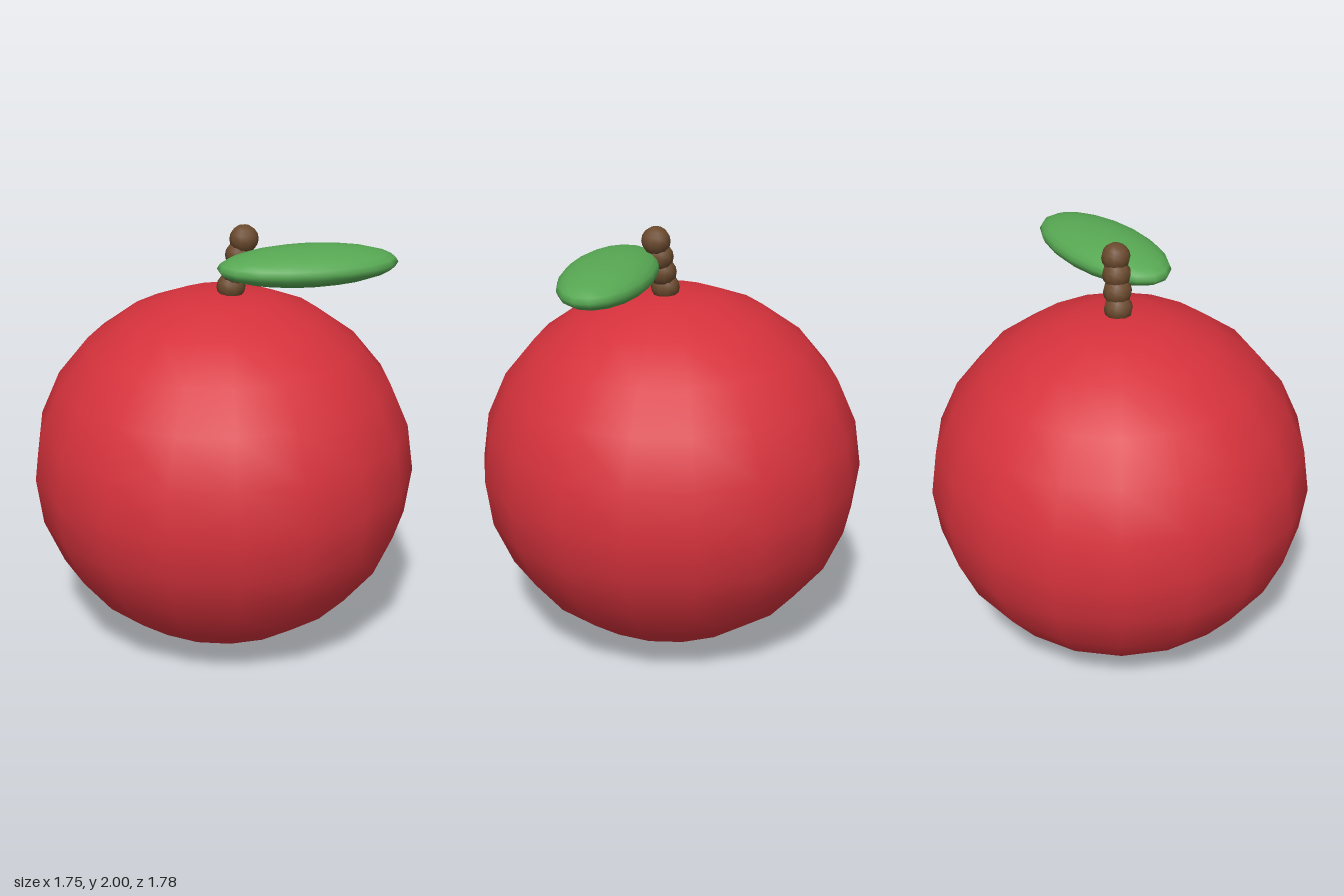
import * as THREE from 'three';

export function createModel() {
  const model = new THREE.Group();
  model.name = 'apple';

  const material = (name, color) => {
    const m = new THREE.MeshStandardMaterial({ color });
    m.name = name;
    return m;
  };
  const red = material('apple red', 0xd6323c);
  const brown = material('stem brown', 0x6b4a2e);
  const green = material('leaf green', 0x57a853);

  // Ellipsoid with its seam turned so that a vertex column lies on the z axis
  const ellipsoid = (name, mat, radii, position, columns, rows) => {
    const geometry = new THREE.SphereGeometry(1, columns, rows).rotateY(Math.PI / 2);
    const mesh = new THREE.Mesh(geometry, mat);
    mesh.name = name;
    mesh.scale.set(...radii);
    mesh.position.set(...position);
    model.add(mesh);
    return mesh;
  };

  // Fruit body, slightly flattened
  ellipsoid('fruit', red, [0.89, 0.845, 0.89], [0, 0.845, 0], 18, 12);

  // Stem of overlapping beads, leaning to the left
  for (let i = 0; i < 4; i++) {
    const t = i / 3;
    const position = [0.037 + 0.06 * t, 1.71 + 0.225 * t, 0];
    ellipsoid('stemBead' + (i + 1), brown, [0.066, 0.065, 0.066], position, 10, 8);
  }

  // Leaf, a long flat ellipsoid turned towards the back
  const leaf = ellipsoid('leaf', green, [0.415, 0.086, 0.2], [0.393, 1.837, 0], 18, 12);
  leaf.rotation.y = 0.5;

  return model;
}
